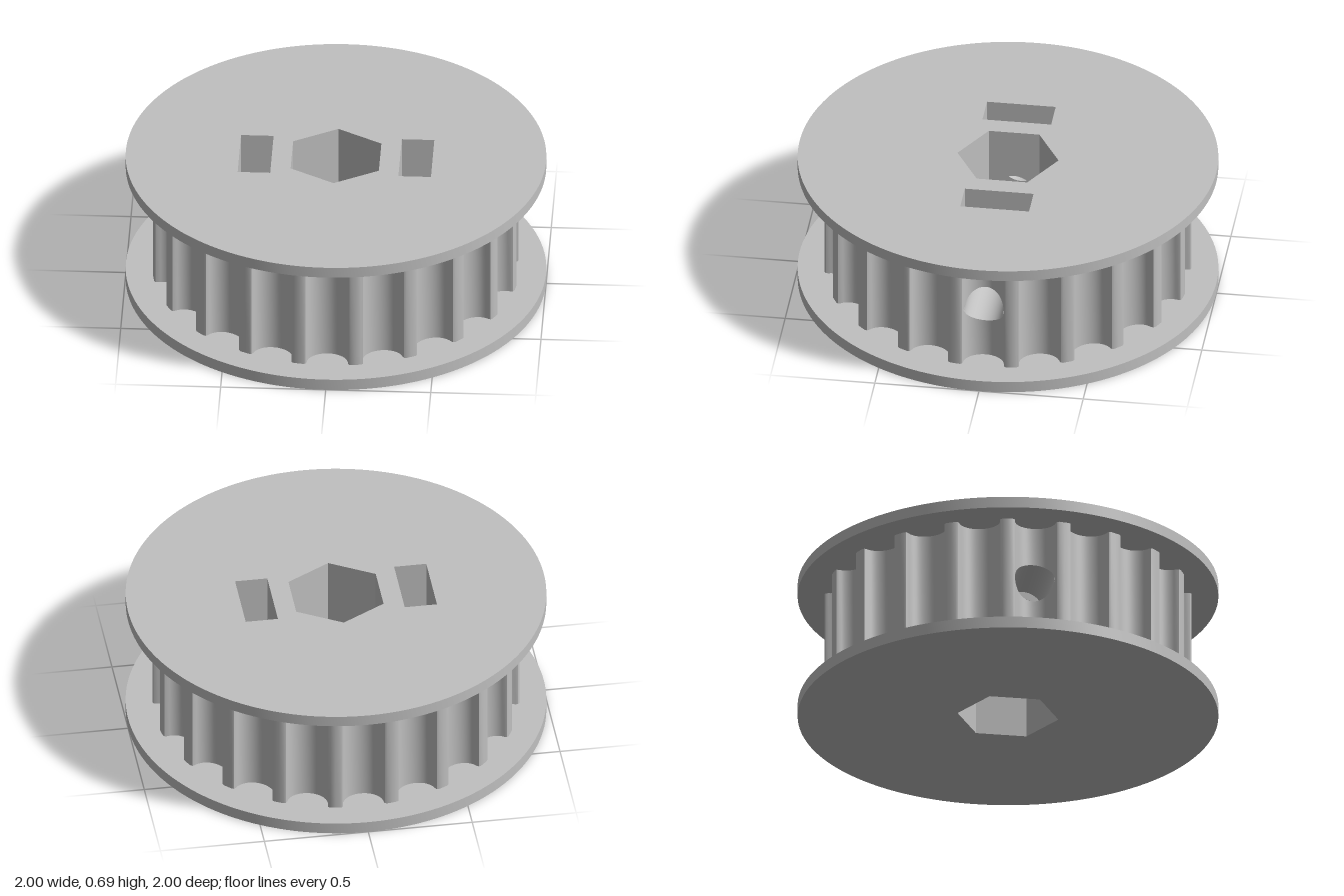
import * as THREE from 'three';
import { toCreasedNormals } from 'three/addons/utils/BufferGeometryUtils.js';

const TEETH = 20, TIP_R = 0.872;
const Y0 = 0.057, Y1 = 0.63, TOP = 0.685;          // flange faces
const HOLE_Y = 0.345, HOLE_R = 0.095;              // cross hole along x
const GROOVE_W = 0.098, GROOVE_D = 0.085, GROOVE_C = 0.85;
const HEX_X = 0.21, HEX_R = 0.2425;                // bore
const POCKET = { x0: 0.305, x1: 0.46, z: 0.165, yLow: 0.25, yTip: 0.155 };

const V2 = (x, y) => new THREE.Vector2(x, y);
const hexPoints = [[0, HEX_R], [HEX_X, HEX_R / 2], [HEX_X, -HEX_R / 2],
  [0, -HEX_R], [-HEX_X, -HEX_R / 2], [-HEX_X, HEX_R / 2]].map(p => V2(...p));

// Collects four-cornered faces into one geometry
function quads(list) {
  const pos = [];
  for (const [a, b, c, d] of list) pos.push(...a, ...b, ...c, ...a, ...c, ...d);
  const g = new THREE.BufferGeometry();
  g.setAttribute('position', new THREE.Float32BufferAttribute(pos, 3));
  return toCreasedNormals(g, 0.6);
}

// Flange disc with the hexagonal bore and, on request, the two pocket openings
function flange(height, withPockets) {
  const shape = new THREE.Shape();
  shape.absarc(0, 0, 1, 0, Math.PI * 2);
  shape.holes.push(new THREE.Path(hexPoints));
  if (withPockets) for (const s of [-1, 1]) {
    const { x0, x1, z } = POCKET;
    shape.holes.push(new THREE.Path([V2(s * x0, -z), V2(s * x1, -z), V2(s * x1, z), V2(s * x0, z)]));
  }
  const g = new THREE.ExtrudeGeometry(shape, { depth: height, bevelEnabled: false, curveSegments: 96 });
  g.rotateX(-Math.PI / 2);
  return toCreasedNormals(g, 0.6);
}

// Toothed wall: one round groove per pitch, opened for the cross hole on +x and -x
function toothedWall() {
  const local = [];                                // [radial, tangential]
  local.push([Math.sqrt(TIP_R ** 2 - 0.112 ** 2), -0.112], [0.861, -0.102]);
  for (let i = 0; i <= 20; i++) {
    const t = -Math.PI / 2 + Math.PI * i / 20;
    local.push([GROOVE_C - GROOVE_D * Math.cos(t), GROOVE_W * Math.sin(t)]);
  }
  local.push([0.861, 0.102], [Math.sqrt(TIP_R ** 2 - 0.112 ** 2), 0.112]);
  const half = Math.PI / TEETH;
  local.push([TIP_R * Math.cos(half), TIP_R * Math.sin(half)]);

  const ring = [];
  for (let k = 0; k < TEETH; k++) {
    const a = k * 2 * half, c = Math.cos(a), s = Math.sin(a);
    for (const [r, u] of local) {
      const open = k % (TEETH / 2) === 0 ? Math.sqrt(Math.max(0, HOLE_R ** 2 - u * u)) : 0;
      ring.push({ x: r * c - u * s, z: r * s + u * c, open });
    }
  }
  const list = [];
  ring.forEach((p, i) => {
    const q = ring[(i + 1) % ring.length];
    const strip = (pa, pb, qa, qb) =>
      list.push([[p.x, pa, p.z], [p.x, pb, p.z], [q.x, qb, q.z], [q.x, qa, q.z]]);
    strip(Y0, HOLE_Y - p.open, Y0, HOLE_Y - q.open);
    strip(HOLE_Y + p.open, Y1, HOLE_Y + q.open, Y1);
  });
  return quads(list);
}

// Flat wall facing along x, outlined in (z, y), pierced by the cross hole
function piercedWall(x, outline) {
  const shape = new THREE.Shape(outline.map(p => V2(...p)));
  const hole = new THREE.Path();
  hole.absarc(0, HOLE_Y, HOLE_R, 0, Math.PI * 2);
  shape.holes.push(hole);
  return new THREE.ShapeGeometry(shape, 24).rotateY(Math.PI / 2).translate(x, 0, 0);
}

// Lining of the cross hole between two x positions, each given as a rule of z
function holeLining(side, from, to) {
  const list = [], n = 48;
  const corner = (i, rule) => {
    const a = i / n * Math.PI * 2, z = HOLE_R * Math.cos(a);
    return [side * rule(z), HOLE_Y + HOLE_R * Math.sin(a), z];
  };
  for (let i = 0; i < n; i++)
    list.push([corner(i, from), corner(i + 1, from), corner(i + 1, to), corner(i, to)]);
  return quads(list);
}

export function createModel() {
  const model = new THREE.Group();
  model.name = 'timingPulley';
  const grey = new THREE.MeshStandardMaterial({ color: 0xc0c0c0, side: THREE.DoubleSide });
  grey.name = 'grey';
  const add = (name, geometry, y = 0) => {
    const mesh = new THREE.Mesh(geometry, grey);
    mesh.name = name;
    mesh.position.y = y;
    model.add(mesh);
  };

  add('bottomFlange', flange(Y0, false));
  add('topFlange', flange(TOP - Y1, true), Y1);
  add('toothedWall', toothedWall());

  // Slanted walls of the hexagonal bore
  const boreWalls = [0, 2, 3, 5].map(i => {
    const a = hexPoints[i], b = hexPoints[(i + 1) % 6];
    return [[a.x, Y0, a.y], [b.x, Y0, b.y], [b.x, Y1, b.y], [a.x, Y1, a.y]];
  });
  add('boreWalls', quads(boreWalls));

  const { x0, x1, z, yLow, yTip } = POCKET;
  const h = HEX_R / 2;
  const boreOutline = [[-h, Y0], [h, Y0], [h, Y1], [-h, Y1]];
  const pocketOutline = [[0, yTip], [z, yLow], [z, Y1], [-z, Y1], [-z, yLow]];
  const grooveX = w => GROOVE_C - GROOVE_D * Math.sqrt(1 - (w / GROOVE_W) ** 2);

  for (const s of [-1, 1]) {
    const label = s > 0 ? 'left' : 'right';
    add(label + 'BoreWall', piercedWall(s * HEX_X, boreOutline));
    // Nut pocket with a V-shaped floor
    add(label + 'PocketInnerWall', piercedWall(s * x0, pocketOutline));
    add(label + 'PocketOuterWall', piercedWall(s * x1, pocketOutline));
    const sides = [];
    for (const t of [-1, 1]) {
      const path = [[0, yTip], [t * z, yLow], [t * z, Y1]];
      for (let i = 0; i < 2; i++) {
        const [za, ya] = path[i], [zb, yb] = path[i + 1];
        sides.push([[s * x0, ya, za], [s * x1, ya, za], [s * x1, yb, zb], [s * x0, yb, zb]]);
      }
    }
    add(label + 'PocketSidesAndFloor', quads(sides));
    // Set screw hole
    add(label + 'InnerScrewHole', holeLining(s, () => HEX_X, () => x0));
    add(label + 'OuterScrewHole', holeLining(s, () => x1, grooveX));
  }
  return model;
}
